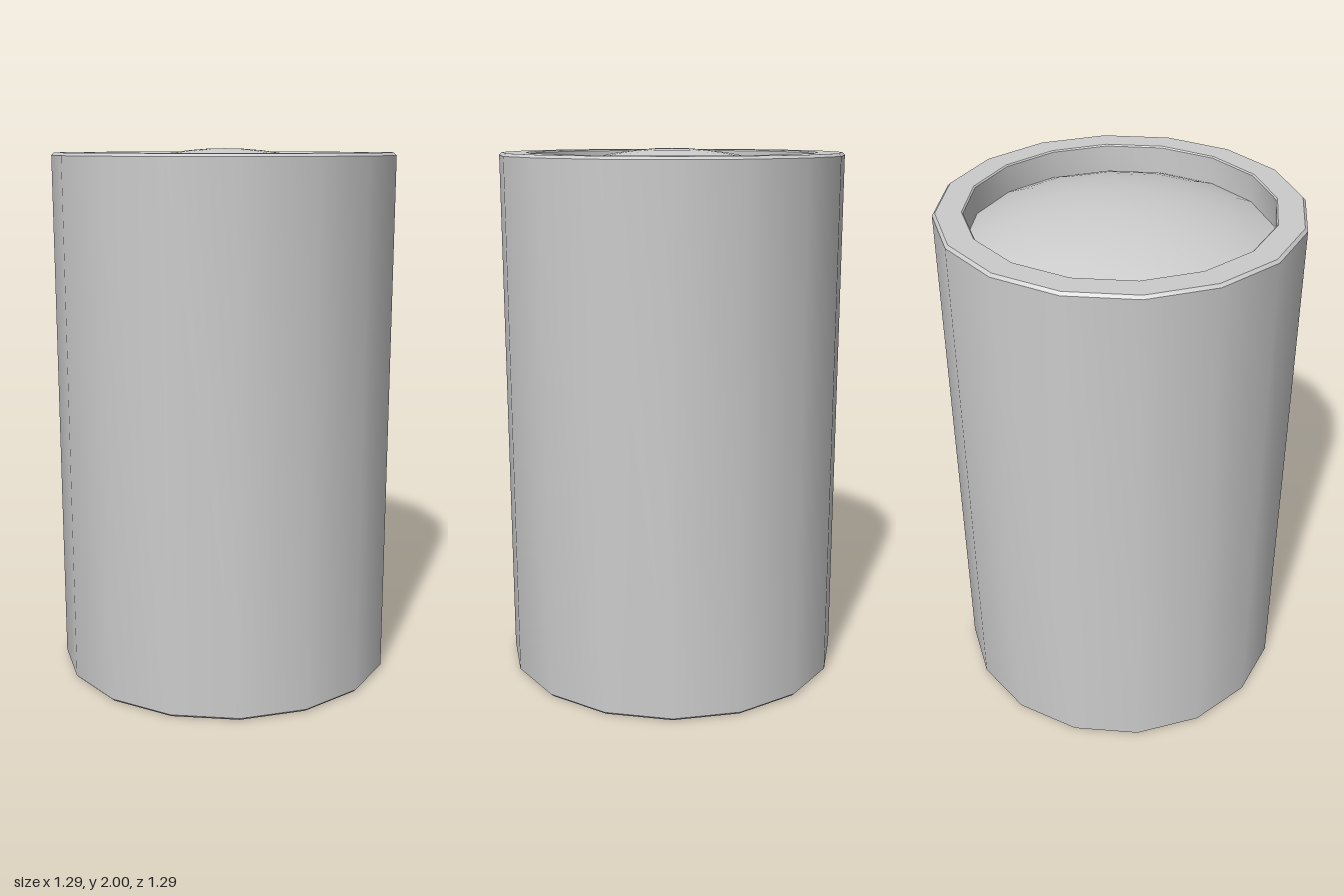
import * as THREE from 'three';
import { toCreasedNormals } from 'three/addons/utils/BufferGeometryUtils.js';

const SIDES = 16;
const RADIUS = 0.645, INNER = 0.54, BEVEL = 0.01;
const RIM_Y = 1.985, DOME_EDGE_Y = 1.88, DOME_TOP_Y = 2;

// Revolve a profile of [radius, height] pairs; sharp edges stay sharp
function turned(name, profile) {
  const points = profile.map(([r, y]) => new THREE.Vector2(r, y));
  const geometry = toCreasedNormals(new THREE.LatheGeometry(points, SIDES), 0.6);
  const mesh = new THREE.Mesh(geometry, new THREE.MeshStandardMaterial({ color: 0xcccccc }));
  mesh.name = name;
  return mesh;
}

export function createModel() {
  const group = new THREE.Group();
  group.name = 'canister';

  // Body: closed base, bevelled wall, flat rim and the inner side of the recess
  group.add(turned('body', [
    [0, 0], [RADIUS - BEVEL, 0], [RADIUS, BEVEL],
    [RADIUS, RIM_Y - BEVEL], [RADIUS - BEVEL, RIM_Y],
    [INNER + 0.005, RIM_Y], [INNER, RIM_Y - 0.005], [INNER, DOME_EDGE_Y],
  ]));

  // Domed lid: a shallow spherical cap inside the rim
  const rise = DOME_TOP_Y - DOME_EDGE_Y;
  const sphere = (INNER ** 2 + rise ** 2) / (2 * rise);
  const sweep = Math.asin(INNER / sphere);
  const cap = [];
  for (let i = 0; i <= 8; i++) {
    const a = sweep * (1 - i / 8);
    cap.push([sphere * Math.sin(a), DOME_TOP_Y - sphere * (1 - Math.cos(a))]);
  }
  group.add(turned('domedLid', cap));

  return group;
}
